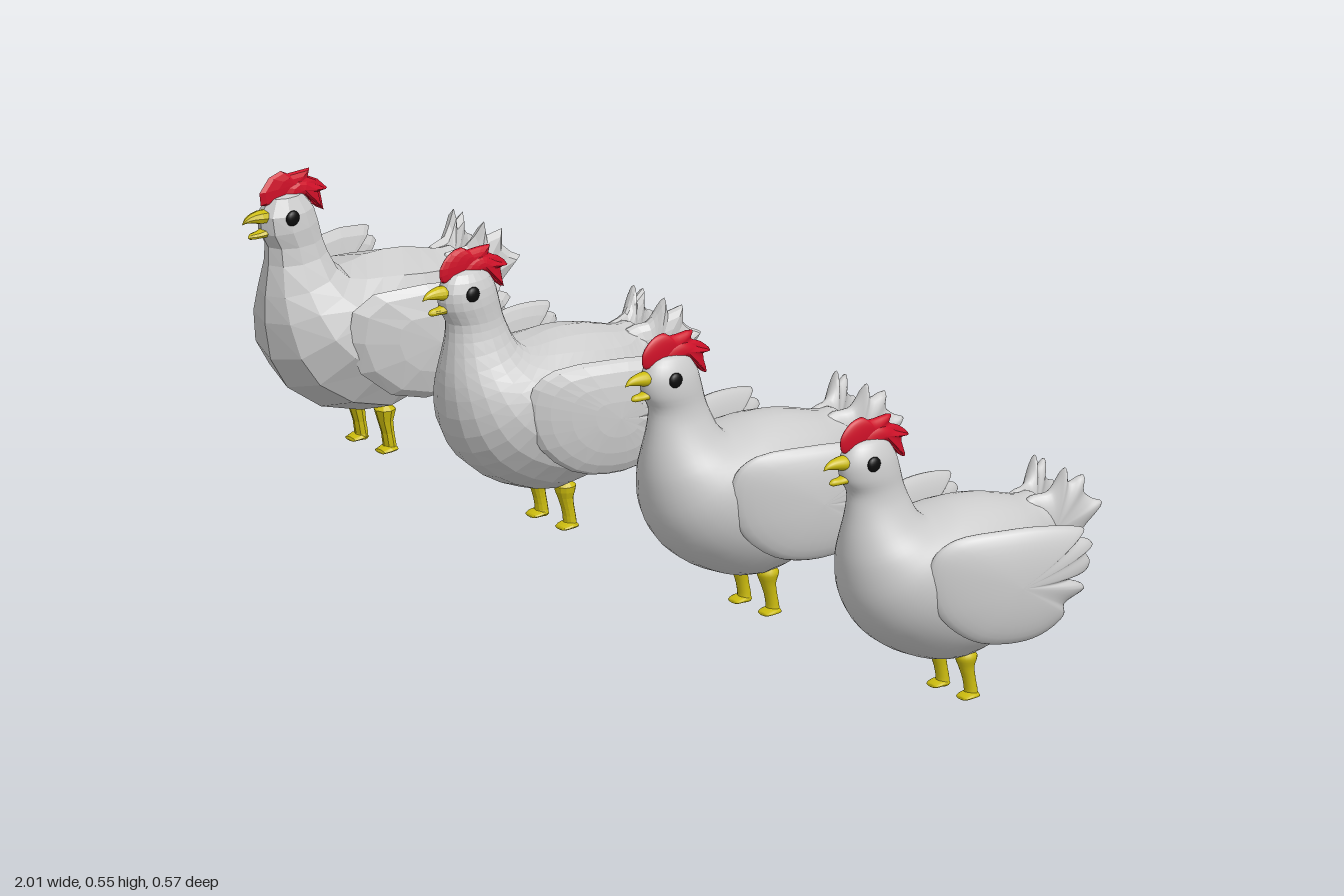
import * as THREE from 'three';

const mat = (name, color) => {
  const m = new THREE.MeshStandardMaterial({ color });
  m.name = name;
  return m;
};

// Closed grid of rings turned into a surface; flat gives one normal per facet.
function skin(rings, flat) {
  const n = rings[0].length, pos = [], idx = [];
  rings.forEach(r => r.forEach(p => pos.push(...p)));
  for (let i = 0; i < rings.length - 1; i++) {
    for (let j = 0; j < n; j++) {
      const a = i * n + j, b = i * n + (j + 1) % n;
      idx.push(a, b, a + n, b, b + n, a + n);
    }
  }
  let g = new THREE.BufferGeometry();
  g.setAttribute('position', new THREE.Float32BufferAttribute(pos, 3));
  g.setIndex(idx);
  if (flat) g = g.toNonIndexed();
  g.computeVertexNormals();
  return g;
}

// Loft of ellipses. Each row: upper/back point (z, y), lower/front point (z, y), half width.
function loft(rows, steps, sides, flat, cx = 0) {
  const A = new THREE.CatmullRomCurve3(rows.map(r => new THREE.Vector3(r[4], r[1], r[0])));
  const B = new THREE.CatmullRomCurve3(rows.map(r => new THREE.Vector3(r[4], r[3], r[2])));
  const rings = [];
  for (let i = 0; i <= steps; i++) {
    const a = A.getPoint(i / steps), b = B.getPoint(i / steps), ring = [];
    for (let j = 0; j < sides; j++) {
      const t = j / sides * Math.PI * 2, c = Math.cos(t);
      ring.push([cx + a.x * Math.sin(t), (a.y + b.y + (a.y - b.y) * c) / 2, (a.z + b.z + (a.z - b.z) * c) / 2]);
    }
    rings.push(ring);
  }
  return skin(rings, flat);
}

// Cushion shaped plate over a (z, y) outline, bent sideways by mid(z).
function cushion(outline, [cz, cy], mid, thick, level) {
  let pts = outline.map(([z, y]) => new THREE.Vector3(0, y, z));
  if (level > 0) pts = new THREE.CatmullRomCurve3(pts, true).getPoints(pts.length * (level + 1)).slice(0, -1);
  const steps = 6 + level * 4, rings = [];
  for (let i = 0; i <= steps; i++) {
    const f = i / steps * Math.PI, r = Math.sin(f), h = Math.cos(f) * thick;
    rings.push(pts.map(p => {
      const z = cz + (p.z - cz) * r;
      return [mid(z) + h, cy + (p.y - cy) * r, z];
    }));
  }
  return skin(rings, level < 2);
}

// Head, neck, breast, belly and rump
const BODY = [
  [.19, .515, .19, .515, 0], [.155, .508, .225, .508, .022], [.132, .48, .245, .478, .036],
  [.124, .455, .242, .445, .04], [.115, .42, .227, .418, .04], [.105, .395, .227, .385, .046],
  [.09, .365, .234, .33, .065], [.07, .35, .235, .28, .087], [.04, .352, .222, .21, .108],
  [.01, .357, .185, .15, .119], [-.03, .357, .11, .098, .125], [-.07, .352, .02, .071, .124],
  [-.11, .342, -.07, .09, .112], [-.14, .333, -.15, .13, .088], [-.16, .33, -.2, .18, .062],
  [-.178, .33, -.228, .228, .045], [-.205, .285, -.205, .285, 0],
];
const WING = [
  [.132, .25], [.125, .305], [.09, .334], [0, .342], [-.07, .339], [-.135, .327], [-.146, .321],
  [-.132, .31], [-.155, .3], [-.163, .29], [-.148, .28], [-.157, .262], [-.15, .246], [-.112, .236],
  [-.14, .222], [-.145, .212], [-.105, .19], [-.105, .17], [-.06, .14], [0, .132], [.06, .145], [.112, .19],
];
const TAIL = [
  [-.15, .328], [-.19, .335], [-.205, .352], [-.22, .376], [-.224, .35], [-.25, .36], [-.25, .33],
  [-.265, .315], [-.281, .307], [-.25, .265], [-.225, .22], [-.19, .178], [-.14, .2], [-.12, .27],
];
const COMB = [
  [.244, .498], [.247, .522], [.226, .546], [.2, .553], [.185, .545], [.136, .545], [.14, .531],
  [.118, .52], [.096, .499], [.112, .496], [.104, .46], [.122, .47], [.132, .497], [.16, .503],
  [.2, .503], [.225, .494],
];
const COMB_LOBE = [
  [.212, .505], [.2, .525], [.175, .535], [.148, .529], [.125, .515], [.097, .499],
  [.118, .498], [.108, .463], [.128, .48], [.15, .498], [.185, .5],
];
const BEAK_UPPER = [
  [.286, .472, .286, .472, 0], [.278, .482, .276, .473, .005], [.262, .489, .262, .47, .01],
  [.235, .49, .235, .465, .015], [.225, .478, .225, .478, 0],
];
const BEAK_LOWER = [
  [.273, .446, .273, .446, 0], [.265, .452, .267, .441, .006], [.25, .453, .25, .44, .01],
  [.23, .457, .23, .44, .012], [.222, .45, .222, .45, 0],
];
const LEG = [
  [0, .095, 0, .095, 0], [-.021, .08, .019, .08, .019], [-.016, .058, .012, .058, .014],
  [-.019, .035, .004, .035, .012], [-.023, .012, 0, .012, .013], [-.022, .002, .002, .002, .014],
  [-.01, .001, -.01, .001, 0],
];
const FOOT = [
  [.013, .003, .013, .003, 0], [.011, .007, .012, 0, .014], [-.004, .012, -.004, 0, .018],
  [-.02, .01, -.02, 0, .013], [-.023, .004, -.023, .004, 0],
];

export function createModel() {
  const white = mat('white feathers', 0xcccccc);
  const red = mat('red comb', 0xcf1028);
  const yellow = mat('yellow beak and legs', 0xccbc0e);
  const black = mat('black eyes', 0x0c0c0c);
  const model = new THREE.Group();
  model.name = 'hens';

  // Level 0 is coarse and faceted, level 3 is finest and smooth.
  function hen(level) {
    const g = new THREE.Group(), flat = level < 2;
    const add = (name, geo, m) => {
      const mesh = new THREE.Mesh(geo, m);
      mesh.name = name;
      g.add(mesh);
      return mesh;
    };
    const small = 8 + level * 4;
    add('body', loft(BODY, 16 * (level + 1), 10 * (level + 1), flat), white);
    add('comb', cushion(COMB, [.175, .526], () => 0, .011, level), red);
    add('combLobe', cushion(COMB_LOBE, [.157, .512], () => 0, .016, level), red);
    add('upperBeak', loft(BEAK_UPPER, small, small, flat), yellow);
    add('lowerBeak', loft(BEAK_LOWER, small, small, flat), yellow);

    // Paired parts on both sides
    for (const s of [1, -1]) {
      const side = s > 0 ? 'left' : 'right';
      add(side + 'Wing', cushion(WING, [-.01, .24], z => s * (.153 - .3 * z - .6 * z * z), .029, level), white);
      add(side + 'TailFan', cushion(TAIL, [-.19, .27], z => s * (.022 + .4 * Math.max(0, -z - .17)), .022, level), white);
      const eye = add(side + 'Eye', new THREE.SphereGeometry(.014, 16, 12), black);
      eye.scale.x = .5;
      eye.position.set(s * .034, .475, .2);
      add(side + 'Leg', loft(LEG, 6 * (level + 1), small, flat, s * .039), yellow);
      add(side + 'Foot', loft(FOOT, 4 * (level + 1), small, flat, s * .041), yellow);
    }
    return g;
  }

  [-.803, -.305, .255, .803].forEach((x, level) => {
    const h = hen(level);
    h.name = 'hen' + (level + 1);
    h.position.x = x;
    model.add(h);
  });
  return model;
}
